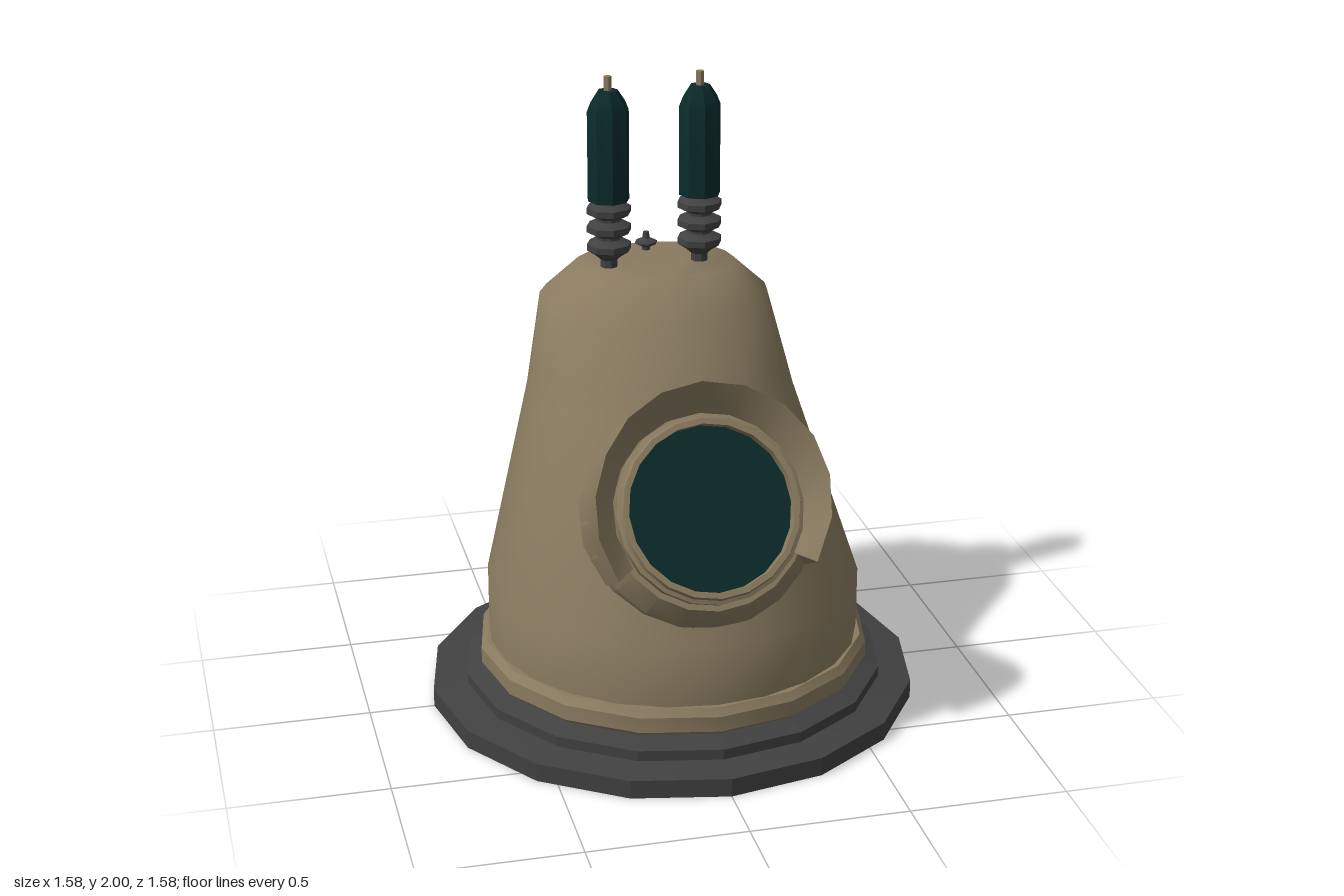
import * as THREE from 'three';
import { toCreasedNormals } from 'three/addons/utils/BufferGeometryUtils.js';

const material = (name, color) => {
  const m = new THREE.MeshStandardMaterial({ color });
  m.name = name;
  return m;
};

// Closed skin over a list of equal rings, capped at both ends
function loft(rings) {
  const n = rings[0].length, last = (rings.length - 1) * n, index = [];
  for (let i = 0; i < rings.length - 1; i++) {
    for (let j = 0; j < n; j++) {
      const a = i * n + j, b = i * n + (j + 1) % n;
      index.push(a, b, b + n, a, b + n, a + n);
    }
  }
  for (let j = 1; j < n - 1; j++) {
    index.push(0, j + 1, j, last, last + j, last + j + 1);
  }
  const g = new THREE.BufferGeometry();
  g.setAttribute('position', new THREE.Float32BufferAttribute(rings.flat(2), 3));
  g.setIndex(index);
  return g;
}

// Profile is a list of [radius, height], bottom to top
const turned = (profile, sides) =>
  new THREE.LatheGeometry(profile.map(([r, y]) => new THREE.Vector2(r, y)), sides);

export function createModel() {
  const model = new THREE.Group();
  model.name = 'lensTurret';
  const tan = material('tan shell', 0x8a7b60);
  const grey = material('dark grey', 0x414141);
  const teal = material('dark teal', 0x0b2a2a);

  const add = (parent, name, geometry, mat, crease = 0.6) => {
    const mesh = new THREE.Mesh(toCreasedNormals(geometry, crease), mat);
    mesh.name = name;
    parent.add(mesh);
    return mesh;
  };

  // Stepped foot and collar
  add(model, 'basePlate', turned([[0, 0], [0.79, 0], [0.79, 0.06], [0.67, 0.08], [0, 0.08]], 16), grey, 0.1);
  add(model, 'baseStep', turned([[0, 0.07], [0.68, 0.07], [0.68, 0.11], [0.61, 0.135], [0, 0.135]], 16), grey, 0.1)
    .position.z = 0.015;
  add(model, 'collar', turned([[0, 0.13], [0.61, 0.13], [0.633, 0.15], [0.633, 0.2], [0.615, 0.225], [0, 0.225]], 16), tan, 0.45)
    .position.z = 0.02;

  // Body with a sloping front: [height, half width, front z, back z]
  const sections = [
    [0.2, 0.6, 0.62, -0.585], [0.42, 0.6, 0.62, -0.58], [1.0, 0.43, 0.25, -0.557],
    [1.08, 0.413, 0.2, -0.553], [1.28, 0.37, 0.07, -0.545], [1.38, 0.26, -0.04, -0.44],
  ];
  const sides = 24;
  add(model, 'body', loft(sections.map(([y, w, front, back]) =>
    Array.from({ length: sides }, (_, j) => {
      const a = (j / sides) * Math.PI * 2;
      return [w * Math.sin(a), y, (front + back) / 2 + (front - back) / 2 * Math.cos(a)];
    }))), tan, 0.75);

  // Tilted lens assembly, its axis along local y
  const lens = new THREE.Group();
  lens.name = 'lensAssembly';
  lens.position.set(0, 0.83, 0.5);
  lens.rotation.x = THREE.MathUtils.degToRad(62);
  model.add(lens);
  add(lens, 'lensHousing', turned([[0.355, -0.35], [0.36, -0.1], [0.31, -0.02], [0.25, -0.02]], 20), tan);
  add(lens, 'lensBezel', turned([[0.292, -0.05], [0.292, 0.015], [0.28, 0.02], [0.275, 0.038], [0.257, 0.038], [0.255, -0.01]], 20), tan, 0.4);
  add(lens, 'lensGlass', turned([[0.262, 0], [0, 0]], 20), teal);

  // Hood over the lens: [degrees from the top, rim radius, rim depth]
  const half = [[0, 0.38, 0.09], [20, 0.378, 0.095], [40, 0.375, 0.105], [60, 0.37, 0.11],
    [80, 0.368, 0.09], [100, 0.366, 0.065], [122, 0.364, 0.03]];
  const rim = [...half.slice(1).reverse().map(([t, r, d]) => [-t, r, d]), ...half];
  add(lens, 'lensHood', loft(rim.map(([t, r, d]) => {
    const a = Math.PI + THREE.MathUtils.degToRad(t);
    return [[0.36, -0.3], [0.295, -0.02], [r, d]].map(([q, y]) => [q * Math.sin(a), y, q * Math.cos(a)]);
  })), tan);

  // Pair of antennas: ribbed insulator, capsule and tip
  const ribs = [[0, 1.37], [0.028, 1.37], [0.028, 1.405], [0.045, 1.42]];
  for (const y of [1.45, 1.51, 1.57]) {
    ribs.push([0.072, y - 0.012], [0.072, y + 0.008], [0.042, y + 0.024], [0.042, y + 0.032]);
  }
  ribs.push([0, 1.602]);
  for (const side of [-1, 1]) {
    const antenna = new THREE.Group();
    antenna.name = side > 0 ? 'leftAntenna' : 'rightAntenna';
    antenna.position.set(side * 0.148, 0, -0.225);
    model.add(antenna);
    add(antenna, 'insulator', turned(ribs, 8), grey);
    add(antenna, 'capsule', turned([[0, 1.6], [0.067, 1.6], [0.067, 1.89], [0.055, 1.92], [0.032, 1.955], [0, 1.955]], 8), teal);
    add(antenna, 'tip', turned([[0.013, 1.94], [0.013, 2], [0, 2]], 6), tan);
  }

  // Small knob behind the antennas
  add(model, 'knob', turned([[0.014, 1.37], [0.014, 1.39], [0.036, 1.402], [0.036, 1.408], [0.012, 1.42], [0.01, 1.44], [0, 1.44]], 8), grey)
    .position.set(0.005, 0, -0.365);

  return model;
}
